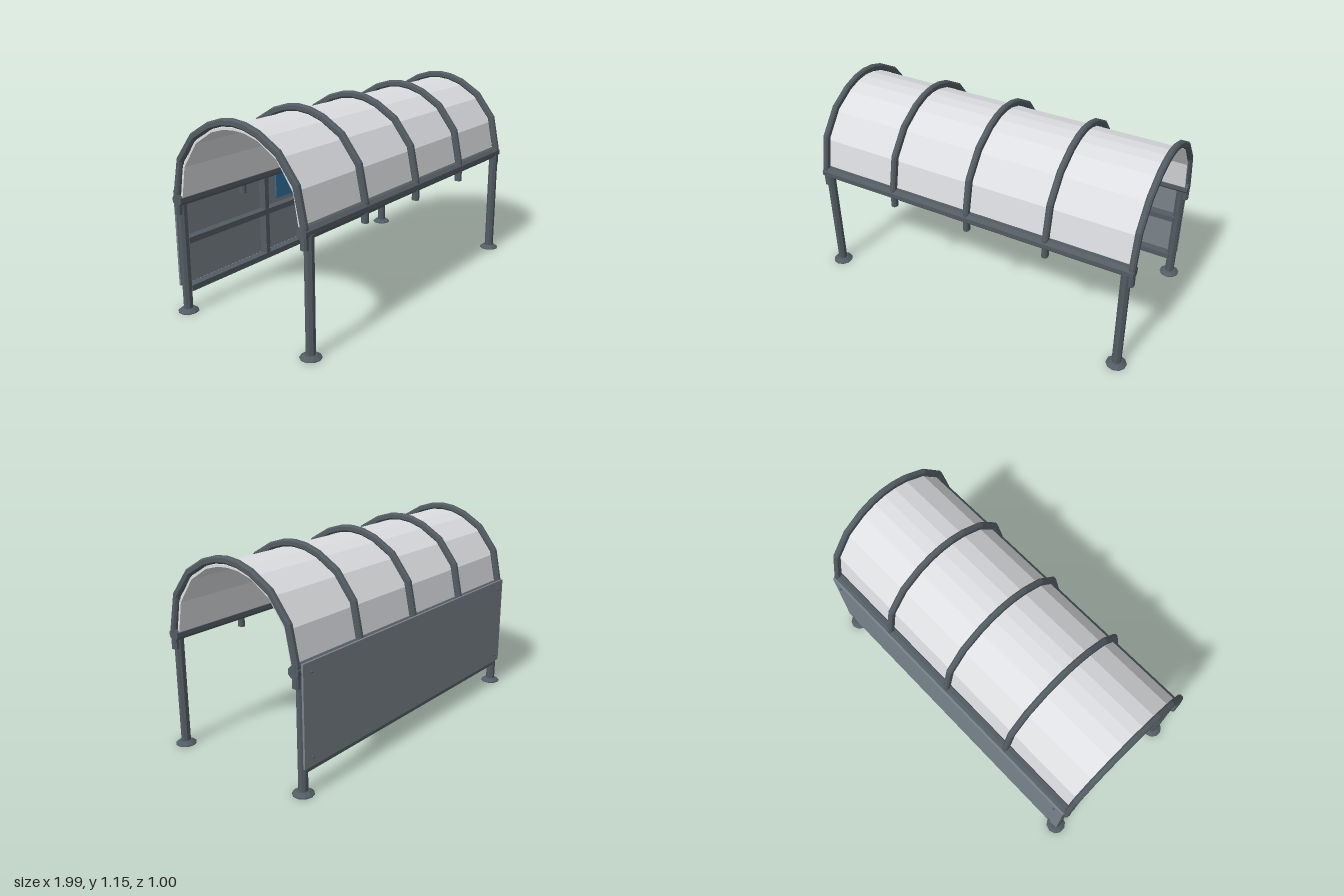
import * as THREE from 'three';

const mat = (name, color) => {
  const m = new THREE.MeshStandardMaterial({ color, flatShading: true });
  m.name = name;
  return m;
};

// Sweep a convex section [x, outward] along a mitred path of [z, y] points
function sweep(path, section) {
  const normals = [];
  for (let i = 0; i < path.length - 1; i++) {
    const dz = path[i + 1][0] - path[i][0], dy = path[i + 1][1] - path[i][1];
    const l = Math.hypot(dz, dy);
    normals.push([dy / l, -dz / l]);
  }
  const rings = path.map(([z, y], i) => {
    const a = normals[Math.max(i - 1, 0)], b = normals[Math.min(i, normals.length - 1)];
    const k = 1 / (1 + a[0] * b[0] + a[1] * b[1]);
    const nz = (a[0] + b[0]) * k, ny = (a[1] + b[1]) * k;
    return section.map(([u, v]) => [u, y + v * ny, z + v * nz]);
  });
  const pos = [];
  const tri = (...p) => p.forEach(q => pos.push(...q));
  const n = section.length;
  for (let i = 0; i < rings.length - 1; i++) {
    const A = rings[i], B = rings[i + 1];
    for (let j = 0; j < n; j++) {
      const k = (j + 1) % n;
      tri(A[j], B[j], A[k]);
      tri(A[k], B[j], B[k]);
    }
  }
  const S = rings[0], E = rings[rings.length - 1];
  for (let j = 1; j < n - 1; j++) {
    tri(S[0], S[j], S[j + 1]);
    tri(E[0], E[j + 1], E[j]);
  }
  const g = new THREE.BufferGeometry();
  g.setAttribute('position', new THREE.Float32BufferAttribute(pos, 3));
  g.computeVertexNormals();
  return g;
}

// Complete a half arch on the other side
const mirrored = half => [...half, ...half.slice(0, -1).reverse().map(([z, y]) => [-z, y])];

function createModel() {
  const group = new THREE.Group();
  const steel = mat('darkSteel', 0x535c63);
  const sheet = mat('panelGrey', 0x79838a);
  const cover = mat('canopyWhite', 0xdcdee1);
  const blue = mat('signBlue', 0x33719f);

  const add = (name, geo, material, x = 0, y = 0, z = 0) => {
    const m = new THREE.Mesh(geo, material);
    m.name = name;
    m.position.set(x, y, z);
    group.add(m);
    return m;
  };
  const box = (name, w, h, d, material, x, y, z) =>
    add(name, new THREE.BoxGeometry(w, h, d), material, x, y, z);

  // Legs with flared feet
  const legGeo = new THREE.CylinderGeometry(0.027, 0.027, 0.65, 8).rotateY(Math.PI / 8);
  const footGeo = new THREE.CylinderGeometry(0.036, 0.058, 0.016, 10);
  const soleGeo = new THREE.CylinderGeometry(0.058, 0.058, 0.005, 10);
  for (const x of [-0.942, 0.942]) {
    for (const z of [-0.442, 0.442]) {
      add('leg', legGeo, steel, x, 0.325, z);
      add('foot', footGeo, steel, x, 0.013, z);
      add('footSole', soleGeo, steel, x, 0.0025, z);
    }
  }

  // Long eave beams
  const beamGeo = new THREE.CylinderGeometry(0.034, 0.034, 1.97, 8)
    .rotateY(Math.PI / 8).rotateZ(Math.PI / 2);
  for (const z of [-0.431, 0.431]) add('eaveBeam', beamGeo, steel, 0, 0.657, z);

  // Roof hoops
  const hoopPath = mirrored([[0.438, 0.575], [0.438, 0.69], [0.397, 0.882],
    [0.287, 1.022], [0.163, 1.095], [0.077, 1.122], [0, 1.13]]);
  const a = 0.017, b = 0.02, c = 0.009;
  const hoopGeo = sweep(hoopPath, [[a, -b + c], [a, b - c], [a - c, b], [c - a, b],
    [-a, b - c], [-a, c - b], [c - a, -b], [a - c, -b]]);
  for (let i = -2; i <= 2; i++) add('roofHoop', hoopGeo, steel, i * 0.485);

  // Faceted canopy sheet under the hoops
  const canopyPath = mirrored([[0.405, 0.655], [0.372, 0.845], [0.275, 0.985],
    [0.157, 1.06], [0.07, 1.085], [0, 1.09]]);
  add('canopy', sweep(canopyPath,
    [[0.968, 0], [0.968, 0.013], [-0.968, 0.013], [-0.968, 0]]), cover);

  // Back wall panel, its rails and uprights
  box('backPanel', 1.93, 0.55, 0.012, sheet, 0, 0.427, -0.472);
  for (const y of [0.137, 0.417]) box('wallRail', 1.86, 0.034, 0.05, steel, 0, y, -0.437);
  for (const x of [-0.31, 0.31]) box('wallUpright', 0.032, 0.51, 0.048, steel, x, 0.385, -0.438);

  // Panel bolts
  const boltGeo = new THREE.SphereGeometry(0.008, 8, 6);
  for (const x of [-0.905, 0.905])
    for (const y of [0.2, 0.65]) add('bolt', boltGeo, steel, x, y, -0.479);

  // Rounded sign on the inside of the wall
  const w = 0.18, h = 0.09, r = 0.015;
  const s = new THREE.Shape();
  s.absarc(w - r, h - r, r, 0, Math.PI / 2);
  s.absarc(r - w, h - r, r, Math.PI / 2, Math.PI);
  s.absarc(r - w, r - h, r, Math.PI, Math.PI * 1.5);
  s.absarc(w - r, r - h, r, Math.PI * 1.5, Math.PI * 2);
  add('sign', new THREE.ExtrudeGeometry(s, { depth: 0.008, bevelEnabled: false, curveSegments: 4 }),
    blue, 0, 0.55, -0.464);

  return group;
}

export { createModel };
